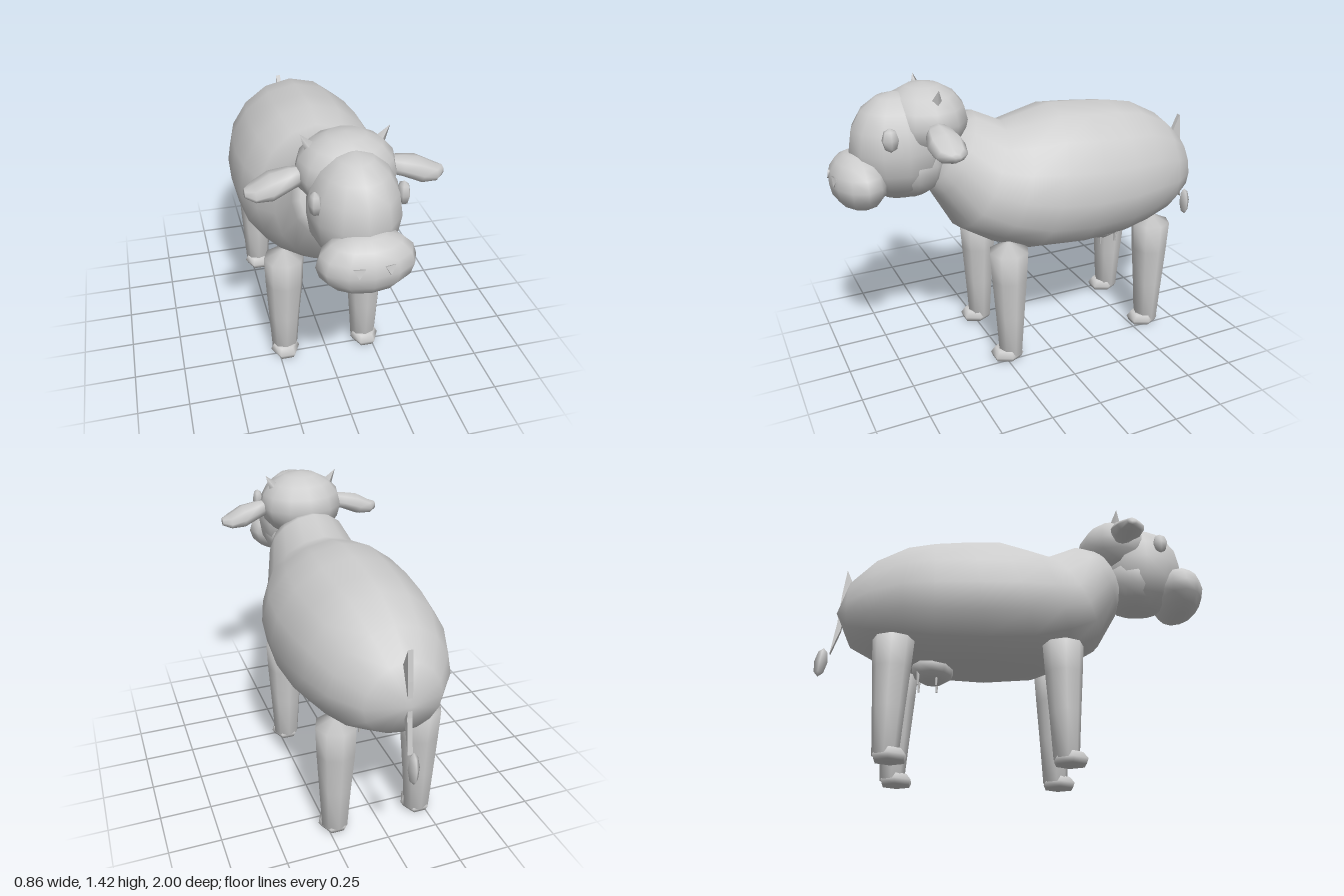
import * as THREE from 'three';

const V = (x, y, z) => new THREE.Vector3(x, y, z);

// Smooth closed skin through rings; each ring is { c: centre, u, v: half axes, sag }
function loft(rings, sides) {
  const pos = [], idx = [];
  for (const { c, u, v, sag = 0 } of rings) {
    for (let j = 0; j < sides; j++) {
      const a = (j / sides) * Math.PI * 2, cs = Math.cos(a), sn = Math.sin(a);
      const p = c.clone().addScaledVector(u, cs).addScaledVector(v, sn + sag * cs * cs);
      pos.push(p.x, p.y, p.z);
    }
  }
  const last = (rings.length - 1) * sides;
  const tips = [rings[0], rings[rings.length - 1]].map((r) => r.tip || r.c);
  tips.forEach((t) => pos.push(t.x, t.y, t.z));
  const t0 = rings.length * sides, t1 = t0 + 1;
  for (let j = 0; j < sides; j++) {
    const k = (j + 1) % sides;
    idx.push(t0, k, j, t1, last + j, last + k);
    for (let i = 0; i < rings.length - 1; i++) {
      const a = i * sides, b = a + sides;
      idx.push(a + j, a + k, b + j, a + k, b + k, b + j);
    }
  }
  const g = new THREE.BufferGeometry();
  g.setAttribute('position', new THREE.Float32BufferAttribute(pos, 3));
  g.setIndex(idx);
  g.computeVertexNormals();
  return g;
}

const ellipsoid = (rx, ry, rz, w = 12, h = 8) => new THREE.SphereGeometry(1, w, h).scale(rx, ry, rz);

export function createModel() {
  const model = new THREE.Group();
  model.name = 'cow';
  const grey = new THREE.MeshStandardMaterial({ color: 0xcccccc });
  grey.name = 'plain grey';

  const add = (name, geometry, x = 0, y = 0, z = 0, parent = model) => {
    const m = new THREE.Mesh(geometry, grey);
    m.name = name;
    m.position.set(x, y, z);
    parent.add(m);
    return m;
  };

  // Body and neck: leaning ellipses given by top z, top y, bottom z, bottom y, half width
  const bodyRings = [
    [0.40, 1.24, 0.55, 0.95, 0.18],
    [0.31, 1.26, 0.53, 0.88, 0.21],
    [0.16, 1.19, 0.43, 0.70, 0.26],
    [0.05, 1.215, 0.28, 0.61, 0.325],
    [-0.10, 1.25, 0.10, 0.54, 0.375],
    [-0.25, 1.24, -0.15, 0.52, 0.39],
    [-0.42, 1.225, -0.40, 0.53, 0.375],
    [-0.56, 1.20, -0.55, 0.56, 0.345],
    [-0.72, 1.12, -0.70, 0.60, 0.285],
    [-0.84, 1.01, -0.84, 0.67, 0.18],
  ].map(([tz, ty, bz, by, w]) => ({
    c: V(0, (ty + by) / 2, (tz + bz) / 2),
    u: V(w, 0, 0),
    v: V(0, (by - ty) / 2, (bz - tz) / 2),
    sag: 0.12,
  }));
  bodyRings[0].tip = V(0, 1.11, 0.52);
  bodyRings[bodyRings.length - 1].tip = V(0, 0.84, -0.915);
  add('body', loft(bodyRings, 16));

  // Head masses
  const head = new THREE.Group();
  head.name = 'head';
  model.add(head);
  add('cranium', ellipsoid(0.22, 0.17, 0.2), 0, 1.25, 0.545, head);
  add('face', ellipsoid(0.2, 0.25, 0.225), 0, 1.14, 0.675, head);
  add('jaw', ellipsoid(0.18, 0.17, 0.18), 0, 1.06, 0.63, head);
  add('muzzle', ellipsoid(0.21, 0.135, 0.13), 0, 1.005, 0.87, head);

  for (const s of [1, -1]) {
    const side = s > 0 ? 'left' : 'right';

    // Ear: leaf that droops outward
    const ear = [
      [0.18, 1.245, 0.04, 0.035],
      [0.24, 1.235, 0.045, 0.065],
      [0.32, 1.21, 0.055, 0.085],
      [0.39, 1.19, 0.035, 0.07],
      [0.43, 1.19, 0.02, 0.025],
    ].map(([x, y, h, d]) => ({ c: V(s * x, y, 0.55), u: V(0, h, 0), v: V(0, 0, s * d) }));
    add(side + 'Ear', loft(ear, 8), 0, 0, 0, head);

    // Horn, eye and nostril
    const horn = add(side + 'Horn', new THREE.ConeGeometry(0.035, 0.1, 4), s * 0.163, 1.378, 0.53, head);
    horn.rotation.z = -s * 0.6;
    add(side + 'Eye', ellipsoid(0.028, 0.055, 0.04, 6, 4), s * 0.183, 1.225, 0.755, head);
    const nostril = add(side + 'Nostril', new THREE.CylinderGeometry(0.028, 0.028, 0.008, 3),
      s * 0.063, 1.035, 0.985, head);
    nostril.rotation.set(Math.PI / 2 - 0.2, 0, -s * 0.3);

    // Legs with hooves
    for (const [end, z] of [['front', 0.22], ['hind', -0.595]]) {
      const leg = [
        [0.60, 0.208, 0.10, 0.10],
        [0.45, 0.208, 0.095, 0.09],
        [0.25, 0.212, 0.08, 0.075],
        [0.03, 0.214, 0.066, 0.06],
      ].map(([y, x, w, d]) => ({ c: V(s * x, y, z), u: V(w, 0, 0), v: V(0, 0, d) }));
      leg[0].tip = V(s * 0.205, 0.645, z);
      add(`${end}${side}Leg`, loft(leg, 8), 0, 0, 0);
      const hoof = [
        [0.06, 0.06, 0.06],
        [0.03, 0.075, 0.085],
        [0.005, 0.06, 0.075],
      ].map(([y, w, d]) => ({ c: V(s * 0.216, y, z + 0.02), u: V(w, 0, 0), v: V(0, 0, d) }));
      hoof[2].tip = V(s * 0.216, 0, z + 0.02);
      add(`${end}${side}Hoof`, loft(hoof, 6));
    }

    // Teats
    for (const z of [-0.39, -0.48]) {
      add(side + 'Teat', new THREE.CylinderGeometry(0.01, 0.005, 0.07, 5), s * 0.05, 0.475, z);
    }
  }

  // Udder
  add('udder', ellipsoid(0.11, 0.075, 0.11, 10, 6), 0, 0.54, -0.41);

  // Tail: thin profile rising above the rump, then hanging to a tuft
  const profile = [[0.84, 1.0], [0.88, 1.09], [0.895, 0.95], [0.905, 0.78], [0.927, 0.61], [0.885, 0.74], [0.86, 0.95]]
    .map(([z, y]) => new THREE.Vector2(z, y));
  const tail = new THREE.ExtrudeGeometry(new THREE.Shape(profile), { depth: 0.024, bevelEnabled: false });
  tail.translate(0, 0, -0.012).rotateY(Math.PI / 2);
  add('tail', tail);
  const tuft = add('tailTuft', ellipsoid(0.028, 0.078, 0.033, 4, 4), 0, 0.567, -0.967);
  tuft.rotation.x = 0.1;

  return model;
}
